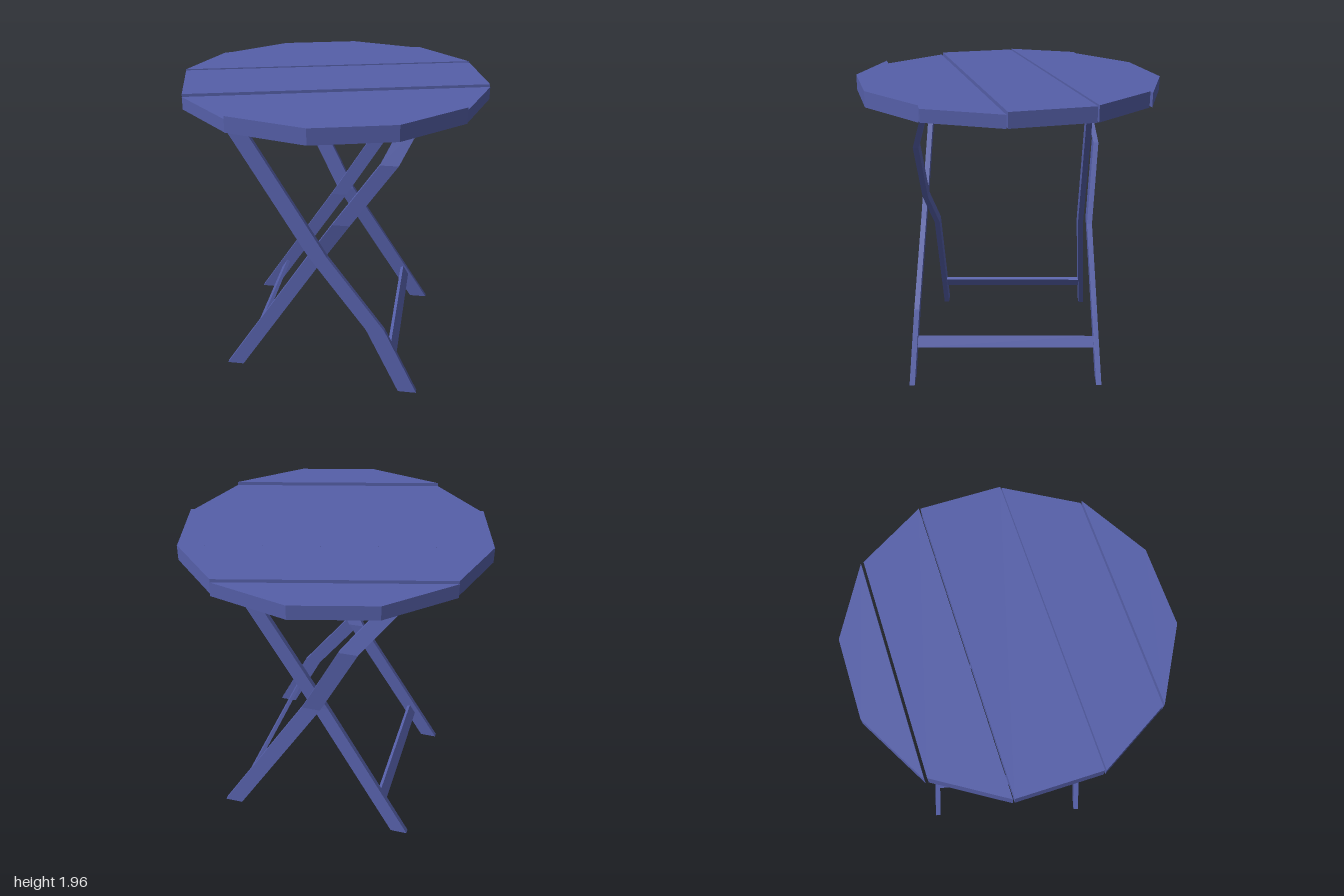
import * as THREE from 'three';

const paint = new THREE.MeshStandardMaterial({ color: 0x555fa8, flatShading: true });

function addMesh(parent, name, geometry) {
  const mesh = new THREE.Mesh(geometry, paint);
  mesh.name = name;
  parent.add(mesh);
  return mesh;
}

// Bent slat: horizontal rectangular rings at nodes [y, x, z], joined and capped
function slat(nodes, width, depth) {
  const w = width / 2, d = depth / 2, pos = [];
  const rings = nodes.map(([y, x, z]) =>
    [[-w, -d], [-w, d], [w, d], [w, -d]].map(([a, b]) => [x + a, y, z + b]));
  const quad = (a, b, c, e) => pos.push(...a, ...b, ...c, ...a, ...c, ...e);
  for (let i = 0; i < rings.length - 1; i++) {
    for (let k = 0; k < 4; k++) {
      const n = (k + 1) % 4;
      quad(rings[i][k], rings[i][n], rings[i + 1][n], rings[i + 1][k]);
    }
  }
  quad(...rings[rings.length - 1]);
  quad(...[...rings[0]].reverse());
  const g = new THREE.BufferGeometry();
  g.setAttribute('position', new THREE.Float32BufferAttribute(pos, 3));
  g.computeVertexNormals();
  return g;
}

// Corner k of the twelve-sided top, counted clockwise from the back
const corner = (k) => [Math.sin(k * Math.PI / 6), -Math.cos(k * Math.PI / 6)];

export function createModel() {
  const table = new THREE.Group();
  table.name = 'foldingTable';

  // Table top: five diagonal planks of slightly different thickness
  const top = new THREE.Group();
  top.name = 'tableTop';
  table.add(top);
  const back = [-Math.sin(Math.PI / 12), -Math.cos(Math.PI / 12)];
  const shift = (k, s) => corner(k).map((v, i) => v + back[i] * s);
  const planks = [
    { h: 0.09, pts: [shift(-2, 0.01), corner(-1), corner(0), shift(1, 0.01)] },
    { h: 0.1, pts: [shift(-3, 0.025), shift(-2, -0.008), shift(1, -0.008), shift(2, 0.018)] },
    { h: 0.095, pts: [shift(-4, 0.005), shift(-3, 0.015), shift(2, 0.008), shift(3, 0.003)] },
    { h: 0.08, pts: [shift(-5, 0.003), shift(-4, -0.006), shift(3, -0.006), shift(4, 0.003)] },
    { h: 0.1, pts: [corner(6), shift(-5, -0.003), shift(4, -0.003), corner(5)] },
  ];
  planks.forEach(({ h, pts }, i) => {
    const shape = new THREE.Shape(pts.map(([x, z]) => new THREE.Vector2(x, -z)));
    const g = new THREE.ExtrudeGeometry(shape, { depth: h, bevelEnabled: false });
    g.rotateX(-Math.PI / 2);
    addMesh(top, 'plank' + (i + 1), g).position.y = 1.86;
  });

  // Crossed legs, warped where they pass each other
  const legs = {
    frontLegLeftFoot: [[0, 0.595, 0.64], [0.45, 0.368, 0.615], [0.95, -0.015, 0.588], [1.86, -0.585, 0.537]],
    backLegLeftFoot: [[0, 0.59, -0.61], [0.93, 0.005, -0.567], [1.44, -0.255, -0.618], [1.86, -0.58, -0.53]],
    frontLegRightFoot: [[0, -0.625, 0.495], [0.93, -0.02, 0.495], [1.17, 0.13, 0.555],
      [1.6, 0.425, 0.572], [1.86, 0.555, 0.495]],
    backLegRightFoot: [[0, -0.62, -0.585], [0.9, -0.04, -0.508], [1.86, 0.555, -0.49]],
  };
  for (const [name, nodes] of Object.entries(legs)) {
    addMesh(table, name, slat(nodes, name.endsWith('LeftFoot') ? 0.122 : 0.112, 0.035));
  }

  // Stretchers joining each pair of feet, tilted with the legs
  for (const [name, x, z0, z1, tilt] of [
    ['leftStretcher', 0.475, -0.59, 0.62, 0.53],
    ['rightStretcher', -0.475, -0.56, 0.49, -0.57],
  ]) {
    const bar = addMesh(table, name, new THREE.BoxGeometry(0.025, 0.08, z1 - z0));
    bar.position.set(x, 0.23, (z0 + z1) / 2);
    bar.rotation.z = tilt;
  }

  return table;
}
